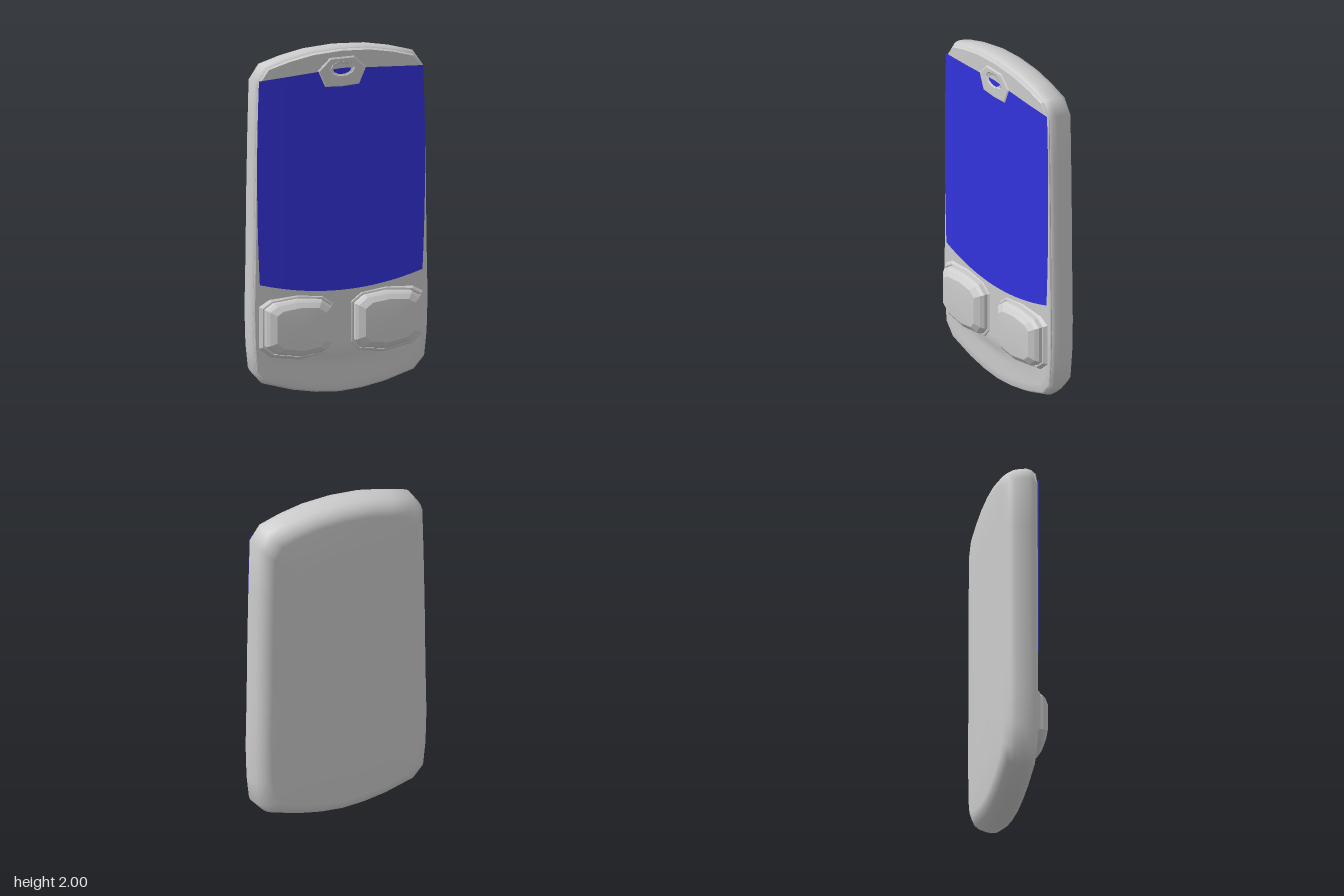
import * as THREE from 'three';
import { toCreasedNormals } from 'three/addons/utils/BufferGeometryUtils.js';

const grey = new THREE.MeshStandardMaterial({ color: 0xcccccc, side: THREE.DoubleSide });
const blue = new THREE.MeshStandardMaterial({ color: 0x3333dd, side: THREE.DoubleSide });

// Right half of the case outline, bottom to top; mirrored into a closed loop
const half = [[0, 0], [0.14, 0.01], [0.28, 0.035], [0.46, 0.088], [0.525, 0.16], [0.54, 0.3], [0.546, 0.5],
  [0.54, 0.8], [0.535, 1.2], [0.528, 1.55], [0.52, 1.84], [0.46, 1.925], [0.33, 1.962], [0.18, 1.99], [0, 2]];
const outline = [...half, ...half.slice(1, -1).reverse().map(([x, y]) => [-x, y])];

// Height of the gently domed front, stepping down to a shelf at the bottom
function frontZ(x, y) {
  const t = THREE.MathUtils.smoothstep(y - 0.25 * x * x, 0.18, 0.26);
  return 0.05 + t * (0.018 - 0.06 * x * x);
}

// Joins counter-clockwise rings of equal length, back to front
function loft(rings, closed = true) {
  const n = rings[0].length, index = [];
  for (let i = 0; i < rings.length - 1; i++) {
    for (let j = 0; j < (closed ? n : n - 1); j++) {
      const a = i * n + j, b = i * n + (j + 1) % n;
      index.push(a, b, b + n, a, b + n, a + n);
    }
  }
  const g = new THREE.BufferGeometry();
  g.setAttribute('position', new THREE.Float32BufferAttribute(rings.flat(2), 3));
  g.setIndex(index);
  g.computeVertexNormals();
  return g;
}

// Case outline moved inwards by d
const inset = (d, z) => outline.map(([x, y]) => {
  const px = x * (1 - d / 0.546), py = 1 + (y - 1) * (1 - d);
  return [px, py, typeof z === 'function' ? z(px, py) : z];
});
const scaled = (pts, [cx, cy], k, z) => pts.map(([x, y]) => [cx + (x - cx) * k, cy + (y - cy) * k, z]);

function add(parent, name, geometry, material = grey) {
  const mesh = new THREE.Mesh(geometry, material);
  mesh.name = name;
  parent.add(mesh);
  return mesh;
}

export function createModel() {
  const model = new THREE.Group();
  model.name = 'handheldDevice';

  // Rounded case with a flat back
  const profile = [[0.546, -0.142], [0.3, -0.142], [0.09, -0.137], [0.055, -0.126], [0.028, -0.105],
    [0.012, -0.075], [0.003, -0.035], [0, 0], [0.004, 0.025], [0.012, 0.04], [0.02, 0.045], [0.03, 0.04], [0.546, 0.04]];
  add(model, 'case', loft(profile.map(([d, z]) => inset(d, z))));

  // Front plate, set in from the edge of the case
  const plateRings = [inset(0.015, 0.038), inset(0.016, 0.047)];
  for (const d of [0.022, 0.06, 0.1, 0.15, 0.18, 0.21, 0.24, 0.28, 0.35, 0.45, 0.546]) plateRings.push(inset(d, frontZ));
  add(model, 'frontPlate', toCreasedNormals(loft(plateRings), 0.5));

  // Screen following the dome of the plate
  const screenRows = [];
  for (let i = 0; i <= 12; i++) {
    const v = i / 12, row = [];
    const w = 0.497 + 0.005 * v + 0.055 * v * (1 - v);
    for (let j = 0; j <= 16; j++) {
      const u = j / 8 - 1, x = u * w;
      const bottom = 0.6 + 0.07 * u * u, top = 1.88 - 0.035 * Math.abs(u);
      const y = bottom + (top - bottom) * v;
      row.push([x, y, frontZ(x, y) + 0.004]);
    }
    screenRows.push(row);
  }
  add(model, 'screen', loft(screenRows, false), blue);

  // Earpiece: tab cutting into the screen, with a shallow oval dish
  const earpiece = new THREE.Group();
  earpiece.name = 'earpiece';
  model.add(earpiece);
  const tab = new THREE.Shape([[-0.1, 1.785], [0, 1.779], [0.1, 1.785], [0.138, 1.872], [0.07, 1.935],
    [-0.07, 1.935], [-0.138, 1.872]].map(p => new THREE.Vector2(...p)));
  const oval = [];
  for (let i = 0; i < 10; i++) {
    const a = i / 10 * Math.PI * 2;
    oval.push([0.078 * Math.cos(a), 1.878 + 0.046 * Math.sin(a)]);
  }
  tab.holes.push(new THREE.Path(oval.map(p => new THREE.Vector2(...p))));
  const tabGeometry = new THREE.ExtrudeGeometry(tab, { depth: 0.018, bevelEnabled: true, bevelThickness: 0.006,
    bevelSize: 0.008, bevelSegments: 1 });
  add(earpiece, 'earpieceTab', tabGeometry).position.z = 0.052;
  const dish = [[1, 0.06], [0.9, 0.075], [0.6, 0.069], [0, 0.069]];
  add(earpiece, 'earpieceDish', toCreasedNormals(loft(dish.map(([k, z]) => scaled(oval, [0, 1.878], k, z))), 0.2));

  // Two faceted buttons in raised rims, mirrored left and right
  const centre = [0.27, 0.41];
  const pad = [[0.1, 0.25], [0.25, 0.23], [0.42, 0.258], [0.485, 0.31], [0.485, 0.535], [0.43, 0.57],
    [0.27, 0.586], [0.12, 0.57], [0.058, 0.525], [0.058, 0.3]];
  const rim = [[1.1, 0.045], [1, 0.072], [0.96, 0.074], [0.95, 0.06]];
  const cap = [[0.93, 0.05], [0.93, 0.09], [0.86, 0.108], [0.7, 0.13], [0, 0.14]];
  for (const side of [1, -1]) {
    const pts = side > 0 ? pad : pad.map(([x, y]) => [-x, y]).reverse();
    const c = [centre[0] * side, centre[1]];
    const button = new THREE.Group();
    button.name = side > 0 ? 'leftButton' : 'rightButton';
    model.add(button);
    add(button, 'buttonRim', toCreasedNormals(loft(rim.map(([k, z]) => scaled(pts, c, k, z))), 0.2));
    add(button, 'buttonCap', toCreasedNormals(loft(cap.map(([k, z]) => scaled(pts, c, k, z))), 0.25));
  }
  return model;
}
